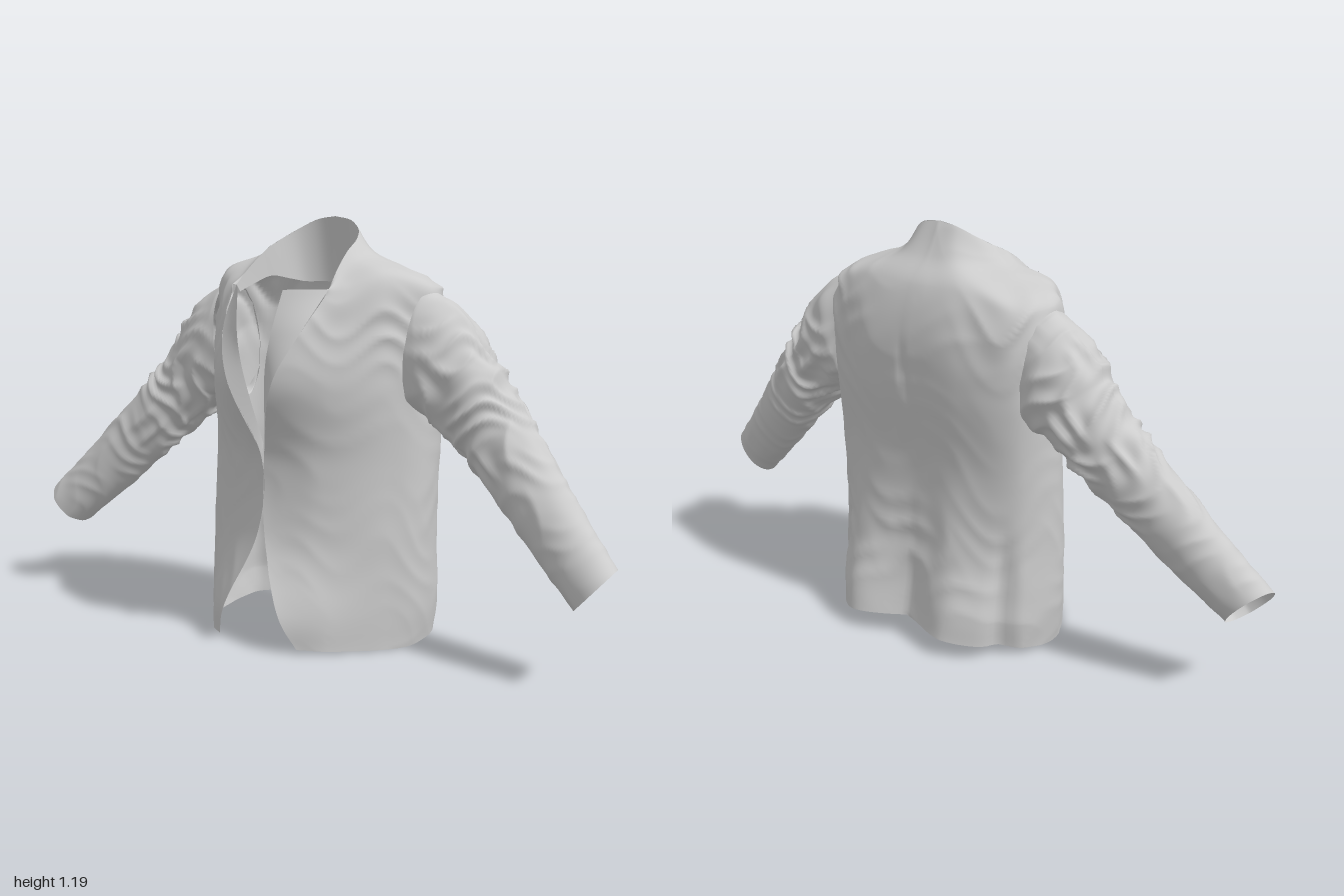
import * as THREE from 'three';

const material = new THREE.MeshStandardMaterial({ color: 0xcccccc, side: THREE.DoubleSide });
const V = (p) => new THREE.Vector3(...p);
const spline = (pts) => new THREE.CatmullRomCurve3(pts);
const bump = (x, centre, width) => Math.exp(-(((x - centre) / width) ** 2));

// Grid surface from a point function of (u, v), both 0..1
function surface(name, fn, nu, nv) {
  const pos = [], index = [];
  for (let j = 0; j <= nv; j++)
    for (let i = 0; i <= nu; i++) pos.push(...fn(i / nu, j / nv).toArray());
  for (let j = 0; j < nv; j++)
    for (let i = 0; i < nu; i++) {
      const a = j * (nu + 1) + i, b = a + 1, c = a + nu + 1, d = c + 1;
      index.push(a, b, d, a, d, c);
    }
  const geo = new THREE.BufferGeometry();
  geo.setAttribute('position', new THREE.Float32BufferAttribute(pos, 3));
  geo.setIndex(index);
  geo.computeVertexNormals();
  const mesh = new THREE.Mesh(geo, material);
  mesh.name = name;
  return mesh;
}

// Smooth point lookup across a stack of cross-sections
function loft(sections) {
  const curves = sections.map((s) => spline(s.map(V)));
  const cache = new Map();
  return (u, v) => {
    if (!cache.has(u)) cache.set(u, spline(curves.map((c) => c.getPoint(u))));
    return cache.get(u).getPoint(v);
  };
}

// Cloth folds: sharp broken ridges from warped waves, about -1..1
function folds(x, y, z) {
  const wx = x + 0.05 * Math.sin(17 * y + 13 * z), wy = y + 0.05 * Math.sin(14 * x - 19 * z + 2);
  const a = 1 - 2 * Math.abs(Math.sin(24 * wx + 13 * wy + 18 * z));
  const b = 1 - 2 * Math.abs(Math.sin(-15 * wx + 33 * wy - 21 * z + 1));
  const mix = 0.5 + 0.5 * Math.sin(19 * x + 23 * z - 11 * y);
  return mix * a + (1 - mix) * b;
}

// Half sections of the torso, front edge to centre back, hem upwards
const torso = [
  [[.14, .01, .27], [.21, .005, .215], [.31, 0, .09], [.345, 0, 0], [.33, .02, -.13], [.17, .05, -.29], [0, .06, -.24]],
  [[.1, .1, .3], [.19, .1, .23], [.315, .1, .09], [.36, .1, 0], [.335, .1, -.14], [.18, .12, -.275], [0, .12, -.23]],
  [[.012, .32, .25], [.15, .3, .205], [.31, .3, .09], [.365, .3, 0], [.335, .3, -.13], [.18, .3, -.22], [0, .3, -.21]],
  [[.003, .52, .24], [.15, .52, .2], [.305, .52, .08], [.37, .52, -.02], [.335, .52, -.14], [.18, .52, -.2], [0, .52, -.2]],
  [[.08, .75, .3], [.185, .75, .225], [.305, .75, .09], [.37, .76, -.04], [.34, .75, -.16], [.18, .75, -.225], [0, .75, -.232]],
  [[.135, .88, .25], [.2, .89, .185], [.3, .9, .085], [.375, .93, -.04], [.345, .9, -.16], [.18, .9, -.225], [0, .9, -.232]],
];
// Shoulders, neck base and collar top
const collarTop = [[.165, 1, .155], [.155, 1.05, .105], [.143, 1.1, .04], [.13, 1.13, -.02], [.105, 1.155, -.06], [.06, 1.18, -.085], [0, 1.19, -.09]];
const yoke = [
  [[.165, .98, .175], [.215, 1, .13], [.285, 1.03, .06], [.37, 1.005, -.05], [.32, 1, -.15], [.17, 1.03, -.185], [0, 1.03, -.195]],
  [[.17, 1, .165], [.175, 1.03, .115], [.18, 1.075, .04], [.175, 1.09, -.03], [.15, 1.09, -.08], [.09, 1.1, -.13], [0, 1.1, -.14]],
  collarTop,
];
const collarFoot = [[.16, .98, .145], [.15, 1, .095], [.138, 1.02, .03], [.12, 1.01, -.03], [.1, 1, -.08], [.06, 1, -.11], [0, 1, -.12]];

// Runs a half section from one front edge round the back to the other
const mirrored = (half) => (u, v) => {
  const s = u < 0.5 ? -1 : 1, t = 1 - Math.abs(2 * u - 1);
  const p = half(Math.round(t * 1e4) / 1e4, v);
  p.x *= s;
  return p;
};

function makeBody() {
  const shape = mirrored(loft([...torso, ...yoke]));
  return surface('jacketBody', (u, v) => {
    const p = shape(u, v), t = 1 - Math.abs(2 * u - 1);
    const out = new THREE.Vector3(p.x, 0, p.z).normalize();
    const shoulder = bump(p.y, 0.95, 0.13) * bump(Math.abs(p.x), 0.33, 0.13);
    const lowBack = bump(p.y, 0.27, 0.12) * bump(t, 1, 0.3);
    // gentle drape everywhere, crumpling at shoulder and lower back
    let d = folds(p.x, p.y, p.z) * (0.001 + 0.006 * shoulder + 0.004 * lowBack);
    // side vents pressed in beside the back flap
    d -= 0.028 * bump(t, 0.71, 0.025) * THREE.MathUtils.smoothstep(0.42 - p.y, 0, 0.25);
    // wave of the flared back hem
    d += 0.012 * Math.sin(14 * p.x) * bump(p.y, 0.03, 0.15) * bump(t, 1, 0.25);
    // short crease between the shoulder blades
    d -= 0.009 * bump(p.x, 0.01 + 0.06 * (p.y - 0.75), 0.012) * bump(p.y, 0.78, 0.08) * (p.z < 0 ? 1 : 0);
    return p.addScaledVector(out, d);
  }, 144, 120);
}

// Sleeve stations: centre, half height, half depth, tilt of the section from upright
const arm = [
  [.342, .815, -.052, .18, .108, .1], [.385, .795, -.055, .165, .118, .38], [.46, .735, -.052, .13, .112, .72], [.56, .64, -.045, .112, .1, .77],
  [.7, .5, -.008, .1, .083, .77], [.82, .38, .025, .09, .075, .77], [.945, .265, .062, .08, .066, .77],
];
function makeSleeve(side) {
  const path = spline(arm.map((a) => V(a.slice(0, 3))));
  const size = spline(arm.map((a) => V(a.slice(3))));
  return surface(side > 0 ? 'leftSleeve' : 'rightSleeve', (u, v) => {
    const a = u * Math.PI * 2, c = path.getPoint(v), r = size.getPoint(v);
    const up = V([Math.sin(r.z), Math.cos(r.z), 0]), depth = V([0.13 * v, -0.12 * v, 1]);
    const p = c.clone().addScaledVector(up, r.x * Math.cos(a)).addScaledVector(depth, r.y * Math.sin(a));
    // deep creases above the elbow, fading to a smooth cuff
    const crumple = 0.0015 + 0.009 * bump(v, 0.4, 0.22);
    const out = p.clone().sub(c).normalize();
    p.addScaledVector(out, crumple * folds(p.x * 1.2 + (side < 0 ? 0.3 : 0), p.y * 1.3, p.z * 1.4));
    p.x *= side;
    return p;
  }, 80, 140);
}

// Turned-in lapel between the fold line and its free edge
function makeLapel(side) {
  const shape = loft([
    [[.003, .54, .24], [.08, .75, .3], [.135, .88, .25], [.165, 1, .155]],
    [[.003, .57, .235], [.04, .78, .28], [.06, .88, .278], [.08, 1, .25]],
  ]);
  return surface(side > 0 ? 'leftLapel' : 'rightLapel', (u, v) => {
    const p = shape(u, v);
    p.x *= side;
    return p;
  }, 30, 6);
}

export function createModel() {
  const group = new THREE.Group();
  group.name = 'jacket';
  group.add(makeBody());
  group.add(surface('innerCollar', mirrored(loft([collarTop, collarFoot])), 60, 8));
  for (const side of [1, -1]) group.add(makeSleeve(side), makeLapel(side));
  return group;
}
